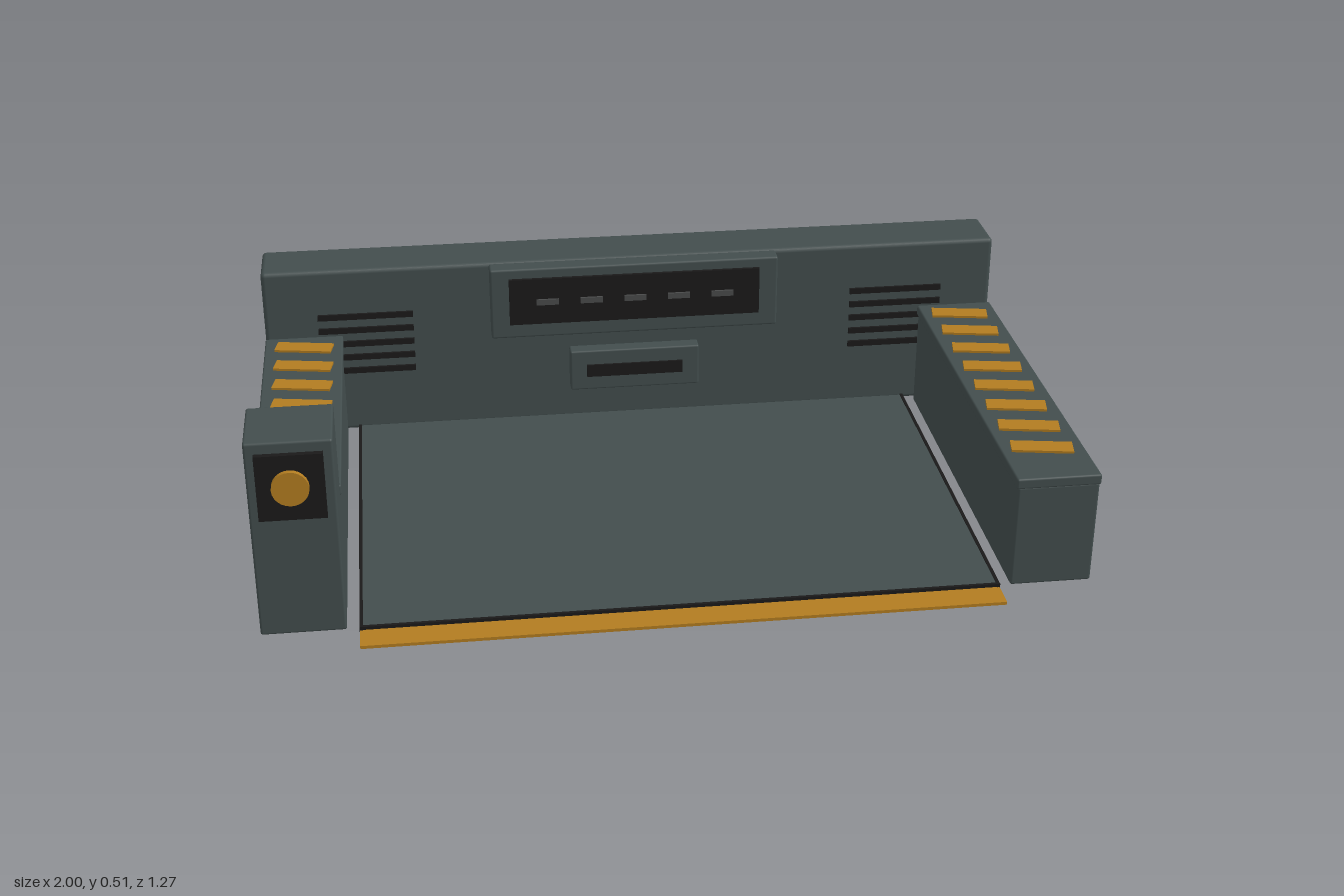
import * as THREE from 'three';
import { RoundedBoxGeometry } from 'three/addons/geometries/RoundedBoxGeometry.js';

export function createModel() {
  const root = new THREE.Group();
  root.name = 'loadingBay';

  const mat = (name, color, side = THREE.FrontSide) => {
    const m = new THREE.MeshStandardMaterial({ color, side });
    m.name = name;
    return m;
  };
  const steel = mat('slate steel', 0x424d4d, THREE.DoubleSide);
  const dark = mat('dark panel', 0x1a1919);
  const amber = mat('amber paint', 0xb27c20);
  const grey = mat('grey marker', 0x494a4a);

  const add = (name, geo, material, x = 0, y = 0, z = 0) => {
    const mesh = new THREE.Mesh(geo, material);
    mesh.name = name;
    mesh.position.set(x, y, z);
    root.add(mesh);
    return mesh;
  };

  // Box given by its limits on each axis
  const box = (name, material, [x0, x1], [y0, y1], [z0, z1]) =>
    add(name, new THREE.BoxGeometry(x1 - x0, y1 - y0, z1 - z0), material,
      (x0 + x1) / 2, (y0 + y1) / 2, (z0 + z1) / 2);

  // Soft-edged steel box; open removes the underside so it is a hollow shell
  const softBox = (name, [x0, x1], [y0, y1], [z0, z1], radius = 0.01, open = false) => {
    const h = y1 - y0;
    const geo = new RoundedBoxGeometry(x1 - x0, h, z1 - z0, 2, radius);
    if (open) {
      const p = geo.attributes.position;
      const keep = [];
      for (let i = 0; i < p.count; i += 3) {
        const top = Math.max(p.getY(i), p.getY(i + 1), p.getY(i + 2));
        if (top > -h / 2 + 1e-4) keep.push(i, i + 1, i + 2);
      }
      geo.setIndex(keep);
    }
    return add(name, geo, steel, (x0 + x1) / 2, (y0 + y1) / 2, (z0 + z1) / 2);
  };

  // Back wall
  softBox('backWall', [-1, 1], [0.003, 0.48], [-0.633, -0.474], 0.012, true);

  // Side walls with capping rails; the right rail stops at the pillar
  softBox('leftWall', [0.797, 0.997], [0.003, 0.272], [-0.46, 0.552], 0.006, true);
  softBox('leftRail', [0.793, 1], [0.268, 0.295], [-0.463, 0.554], 0.005);
  softBox('rightWall', [-0.997, -0.797], [0.003, 0.272], [-0.46, 0.552], 0.006, true);
  softBox('rightRail', [-1, -0.793], [0.268, 0.295], [-0.463, 0.38], 0.005);

  // Lamp pillar at the front of the right wall
  softBox('lampPillar', [-0.997, -0.797], [0.255, 0.507], [0.37, 0.552], 0.006, true);
  box('lampPlate', dark, [-0.975, -0.82], [0.315, 0.48], [0.55, 0.566]);
  const lamp = add('lamp', new THREE.CylinderGeometry(0.043, 0.043, 0.014, 24), amber, -0.898, 0.4, 0.571);
  lamp.rotation.x = Math.PI / 2;

  // Slanted hazard stripes on the rails
  for (const [side, count] of [[1, 8], [-1, 7]]) {
    for (let i = 0; i < count; i++) {
      const stripe = add('railStripe', new THREE.BoxGeometry(0.15, 0.008, 0.051), amber,
        side * 0.895, 0.297, -0.39 + i * 0.1135);
      stripe.rotation.y = -0.18;
    }
  }

  // Platform with a slim dark rim and painted front lip
  box('platform', steel, [-0.764, 0.764], [0.002, 0.015], [-0.47, 0.56]);
  for (const s of [-1, 1]) {
    const x = s * 0.764;
    box('platformRim', dark, [x - 0.004, x + 0.004], [0.004, 0.017], [-0.472, 0.566]);
  }
  box('platformRim', dark, [-0.76, 0.76], [0.009, 0.017], [0.558, 0.566]);
  box('frontLip', amber, [-0.767, 0.767], [0, 0.008], [0.56, 0.633]);

  // Display with a row of markers
  softBox('displayFrame', [-0.393, 0.39], [0.275, 0.476], [-0.48, -0.43], 0.006);
  box('displayScreen', dark, [-0.343, 0.338], [0.318, 0.449], [-0.432, -0.42]);
  for (let i = -2; i <= 2; i++) {
    const x = i * 0.119 - 0.002;
    box('displayMarker', grey, [x - 0.03, x + 0.03], [0.375, 0.391], [-0.422, -0.414]);
  }

  // Slot box below the display
  softBox('slotBox', [-0.18, 0.176], [0.104, 0.221], [-0.48, -0.436], 0.005);
  box('slot', dark, [-0.135, 0.13], [0.145, 0.18], [-0.438, -0.43]);

  // Vent slats on both sides of the back wall
  for (const s of [-1, 1]) {
    for (let i = 0; i < 5; i++) {
      const y = 0.185 + i * 0.04;
      const x = s * 0.73;
      box('ventSlat', dark, [x - 0.128, x + 0.128], [y - 0.008, y + 0.008], [-0.476, -0.467]);
    }
  }

  return root;
}
